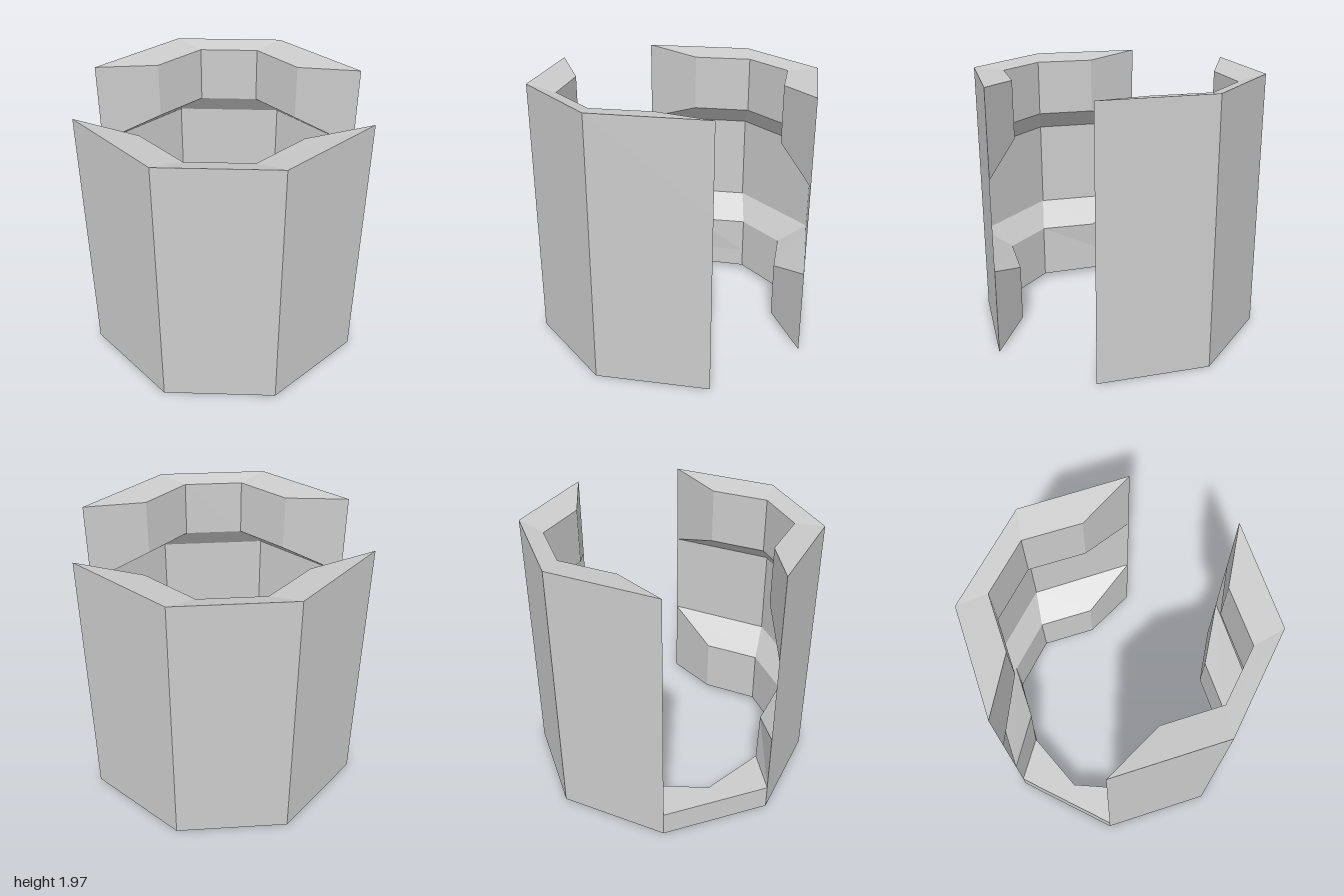
import * as THREE from 'three';

// Flat-shaded mesh from polygons (corner lists, counter-clockwise); flip mirrors across z
function polyMesh(name, polys, { flip = false, side = THREE.FrontSide } = {}) {
  const pos = [];
  const put = (p) => pos.push(p[0], p[1], flip ? -p[2] : p[2]);
  for (const poly of polys) {
    const q = flip ? [...poly].reverse() : poly;
    for (let k = 1; k < q.length - 1; k++) [q[0], q[k], q[k + 1]].forEach(put);
  }
  const geo = new THREE.BufferGeometry();
  geo.setAttribute('position', new THREE.Float32BufferAttribute(pos, 3));
  geo.computeVertexNormals();
  const mat = new THREE.MeshStandardMaterial({ color: 0xcccccc, flatShading: true, side });
  const mesh = new THREE.Mesh(geo, mat);
  mesh.name = name;
  return mesh;
}

// Quads joining consecutive closed cross-sections
function sweep(sections) {
  const polys = [];
  for (let i = 0; i < sections.length - 1; i++) {
    const a = sections[i], b = sections[i + 1];
    a.forEach((p, j) => {
      const n = (j + 1) % a.length;
      polys.push([p, a[n], b[n], b[j]]);
    });
  }
  return polys;
}

export function createModel() {
  const group = new THREE.Group();
  const H = 1.967, BAR = 0.185, LIFT = 0.038;
  const UPPER = 1.33, LOWER = 0.65; // edges of the recess on the outer skin

  // Plan of one half of the octagonal wall, outer and inner corners [x, z]
  const outer = [[0.995, 0.42], [0.405, 1], [-0.42, 1], [-1, 0.41]];
  const inner = [[0.53, 0.55], [0.22, 0.865], [-0.23, 0.865], [-0.54, 0.55]];
  const foot = [-0.65, 0.48]; // inner corner where the wall meets the low bar
  const at = ([x, z], y) => [x, y, z];

  // Thick upper band
  const upper = outer.map((o, i) =>
    [at(o, UPPER), at(o, H), at(inner[i], H - LIFT), at(inner[i], 1.5)]);
  const upperBand = [...sweep(upper), [...upper[0]].reverse(), upper[3]];

  // Thick lower band, drawn in to the foot at its last corner
  const lower = outer.map((o, i) => {
    const low = i === 3 ? foot : inner[i];
    return [at(o, 0), at(o, LOWER), at(inner[i], 0.47), at(low, BAR), at(low, LIFT)];
  });
  const lowerEnd = [at(outer[3], BAR), ...lower[3].slice(1, 4)];
  const lowerBand = [...sweep(lower), [...lower[0]].reverse(), lowerEnd];

  // Thin sheet closing the recess between the bands
  const recessSheet = [0, 1, 2].map((i) => [
    at(outer[i], LOWER), at(outer[i], UPPER), at(outer[i + 1], UPPER), at(outer[i + 1], LOWER),
  ]);

  // Front wall and its mirrored back wall
  for (const [name, flip] of [['front', false], ['back', true]]) {
    group.add(
      polyMesh(name + 'UpperBand', upperBand, { flip }),
      polyMesh(name + 'LowerBand', lowerBand, { flip }),
      polyMesh(name + 'RecessSheet', recessSheet, { flip, side: THREE.DoubleSide }),
    );
  }

  // Low bar joining the two walls at the base, its underside tapering to the middle
  const barSection = (o, n, lift) => [at(o, 0), at(o, BAR), at(n, BAR), at(n, lift)];
  const mirror = ([x, z]) => [x, -z];
  group.add(polyMesh('lowBar', sweep([
    barSection(outer[3], foot, LIFT),
    barSection([-1, 0], [-0.85, 0], 0),
    barSection(mirror(outer[3]), mirror(foot), LIFT),
  ])));

  return group;
}
